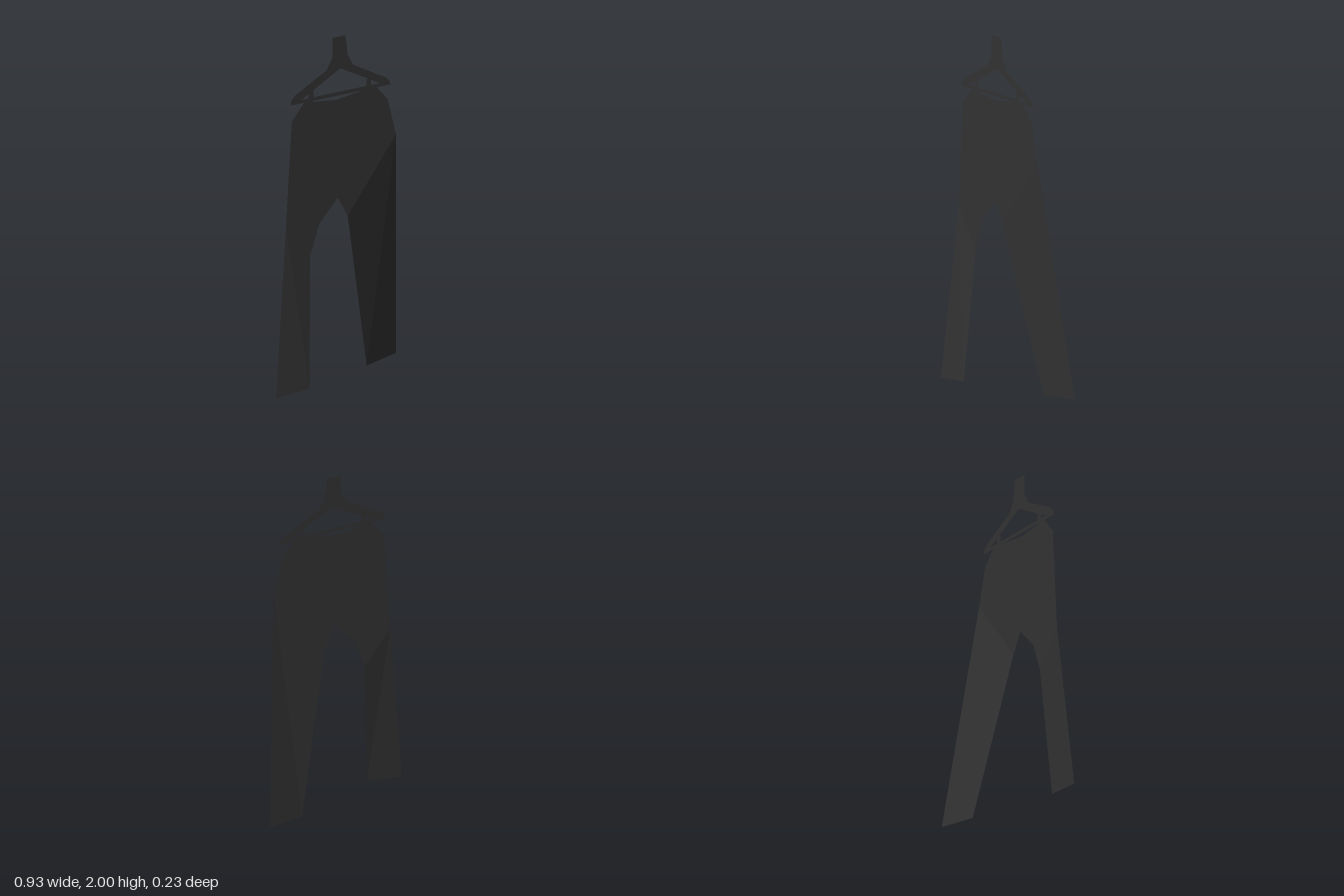
import * as THREE from 'three';

const PLANE_Z = 0.06; // plane of the hanger and the upper trousers

const material = new THREE.MeshStandardMaterial({
  color: 0x333333, side: THREE.DoubleSide, flatShading: true,
});

const toPoints = (pairs) => pairs.map(([x, y]) => new THREE.Vector2(x, y));

// Flat cut-out panel, optionally with one hole
function panel(name, outline, hole) {
  const shape = new THREE.Shape(toPoints(outline));
  if (hole) shape.holes.push(new THREE.Path(toPoints(hole)));
  const mesh = new THREE.Mesh(new THREE.ShapeGeometry(shape), material);
  mesh.name = name;
  mesh.position.z = PLANE_Z;
  return mesh;
}

// Four-cornered panel folded out of the plane, corners counter-clockwise
function foldedPanel(name, corners) {
  const geometry = new THREE.BufferGeometry();
  geometry.setAttribute('position', new THREE.Float32BufferAttribute(corners.flat(), 3));
  geometry.setIndex([0, 1, 2, 0, 2, 3]);
  geometry.computeVertexNormals();
  const mesh = new THREE.Mesh(geometry, material);
  mesh.name = name;
  return mesh;
}

export function createModel() {
  const model = new THREE.Group();
  model.name = 'trousersOnHanger';

  // Hanger with its neck and triangular opening
  const hanger = new THREE.Group();
  hanger.name = 'hanger';
  hanger.add(panel('hangerFrame', [
    [-0.335, 1.66], [0.31, 1.66], [0.31, 1.68], [0.285, 1.705], [0.07, 1.82],
    [0.035, 1.885], [0.02, 2], [-0.066, 2], [-0.066, 1.885], [-0.103, 1.82],
    [-0.305, 1.715], [-0.335, 1.685],
  ], [[-0.267, 1.68], [-0.013, 1.815], [0.245, 1.68]]));

  // Clips gripping the waistband
  for (const [name, x] of [['rightClip', -0.204], ['leftClip', 0.172]]) {
    const clip = new THREE.Mesh(new THREE.PlaneGeometry(0.032, 0.07), material);
    clip.name = name;
    clip.position.set(x, 1.685, PLANE_Z);
    hanger.add(clip);
  }

  // Fold lines where the legs leave the plane
  const rightOuter = [-0.368, 0.97], rightInner = [-0.21, 0.77];
  const leftOuter = [0.35, 1.365], leftInner = [0.035, 0.95];

  // Hips and waist, down to the fold lines
  const trousers = new THREE.Group();
  trousers.name = 'trousers';
  trousers.add(panel('hips', [
    rightOuter, rightInner, [-0.15, 0.94], [-0.03, 1.07], leftInner, leftOuter,
    [0.295, 1.58], [0.215, 1.67], [-0.04, 1.637], [-0.25, 1.66], [-0.33, 1.565],
  ]));

  // Right leg swings forward, left leg swings back
  trousers.add(foldedPanel('rightLeg', [
    [...rightOuter, PLANE_Z], [-0.464, 0, 0.107], [-0.25, 0.02, 0.113], [...rightInner, PLANE_Z],
  ]));
  trousers.add(foldedPanel('leftLeg', [
    [...leftOuter, PLANE_Z], [...leftInner, PLANE_Z], [0.24, 0.01, -0.065], [0.462, 0.025, -0.113],
  ]));

  model.add(hanger, trousers);
  return model;
}
